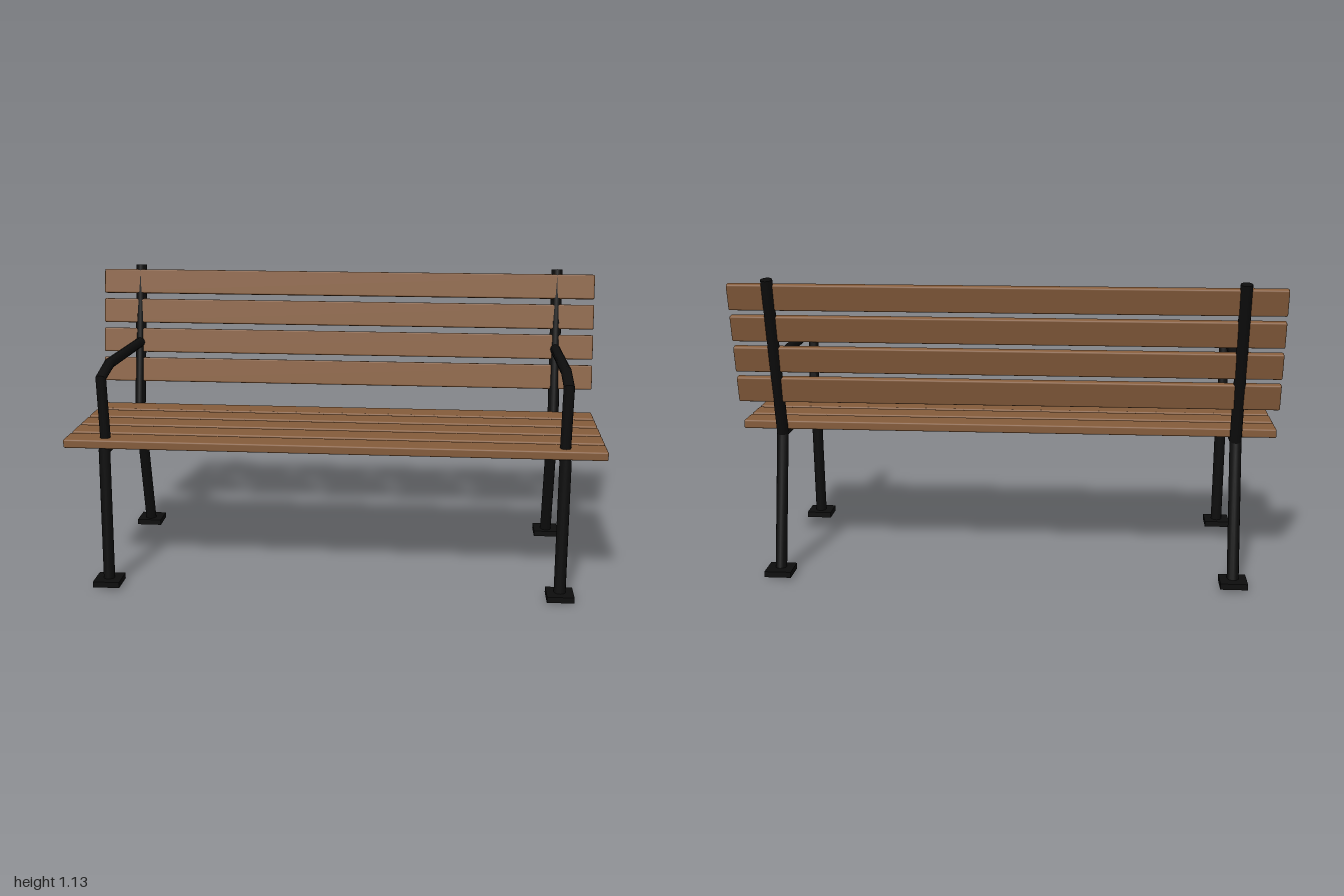
import * as THREE from 'three';
import { toCreasedNormals } from 'three/addons/utils/BufferGeometryUtils.js';
import { RoundedBoxGeometry } from 'three/addons/geometries/RoundedBoxGeometry.js';

const wood = new THREE.MeshStandardMaterial({ color: 0x855c3b });
wood.name = 'brown wood';
const iron = new THREE.MeshStandardMaterial({ color: 0x0d0d0d });
iron.name = 'black iron';

// Round bar following a list of [z, y] points, bent sharply at each point
function bar(name, points, radius) {
  const path = points.map(([z, y]) => new THREE.Vector3(0, y, z));
  const n = path.length - 1;
  const frames = path.map((p, i) => {
    const t = new THREE.Vector3();
    if (i > 0) t.add(p.clone().sub(path[i - 1]).normalize());
    if (i < n) t.add(path[i + 1].clone().sub(p).normalize());
    t.normalize();
    return { p, normal: new THREE.Vector3(0, -t.z, t.y) };
  });
  const geo = new THREE.CylinderGeometry(radius, radius, 1, 12, n);
  const pos = geo.attributes.position;
  for (let i = 0; i < pos.count; i++) {
    const { p, normal } = frames[Math.round((pos.getY(i) + 0.5) * n)];
    const x = pos.getX(i);
    const s = pos.getZ(i);
    pos.setXYZ(i, x, p.y + normal.y * s, p.z + normal.z * s);
  }
  const mesh = new THREE.Mesh(toCreasedNormals(geo, 0.6), iron);
  mesh.name = name;
  return mesh;
}

function slat(name, height, depth, y, z, tilt = 0) {
  const mesh = new THREE.Mesh(new RoundedBoxGeometry(2, height, depth, 2, 0.006), wood);
  mesh.name = name;
  mesh.position.set(0, y, z);
  mesh.rotation.x = tilt;
  return mesh;
}

// One side frame: legs with seat rail, back post, armrest and foot plates
function sideFrame(name, x) {
  const frame = new THREE.Group();
  frame.name = name;
  frame.position.x = x;
  frame.add(
    bar('legsAndSeatRail', [[0.348, 0.002], [0.326, 0.528], [-0.23, 0.528], [-0.345, 0.006]], 0.022),
    bar('backPost', [[-0.229, 0.528], [-0.36, 1.128]], 0.022),
    bar('armrest', [[0.301, 0.535], [0.325, 0.805], [0.2, 0.833], [-0.295, 0.818]], 0.02)
  );
  for (const z of [0.35, -0.35]) {
    const foot = new THREE.Mesh(new THREE.BoxGeometry(0.1, 0.022, 0.1), iron);
    foot.name = z > 0 ? 'frontFoot' : 'backFoot';
    foot.position.set(0, 0.02, z);
    frame.add(foot);
  }
  return frame;
}

export function createModel() {
  const bench = new THREE.Group();
  bench.name = 'bench';
  bench.add(sideFrame('leftFrame', 0.85), sideFrame('rightFrame', -0.85));

  // Seat slats, front to back
  for (let i = 0; i < 5; i++) {
    bench.add(slat(`seatSlat${i + 1}`, 0.033, 0.1, 0.557, 0.299 - i * 0.1183));
  }
  // Leaning backrest slats, bottom to top
  for (let i = 0; i < 4; i++) {
    bench.add(slat(`backSlat${i + 1}`, 0.098, 0.028, 0.707 + i * 0.1185, -0.267 - i * 0.0237, -0.2));
  }
  return bench;
}
